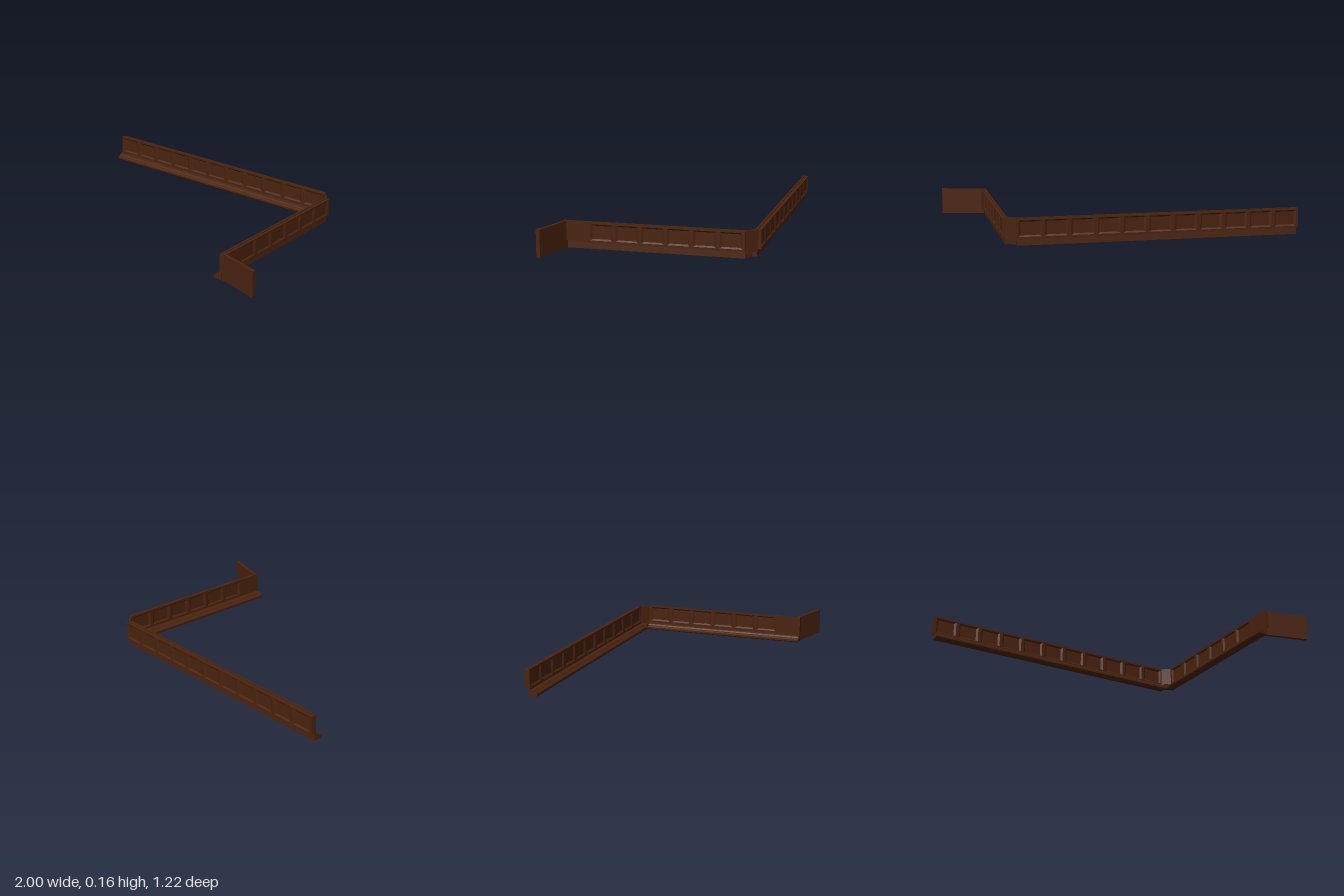
import * as THREE from 'three';

const wood = new THREE.MeshStandardMaterial({ color: 0x4a230e, side: THREE.DoubleSide });
wood.name = 'darkWood';

const HEIGHT = 0.16, PANEL_W = 0.132, PANEL_H = 0.095, PANEL_Y = 0.101;

function add(parent, name, geometry, x = 0, y = 0, z = 0) {
  const mesh = new THREE.Mesh(geometry, wood);
  mesh.name = name;
  mesh.position.set(x, y, z);
  parent.add(mesh);
  return mesh;
}

function rect(path, x0, y0, x1, y1) {
  path.moveTo(x0, y0);
  path.lineTo(x1, y0);
  path.lineTo(x1, y1);
  path.lineTo(x0, y1);
  path.closePath();
  return path;
}

// Flat board with one opening for each panel
function boardGeometry(length, y0, y1, depth, centres) {
  const shape = rect(new THREE.Shape(), -length / 2, y0, length / 2, y1);
  for (const c of centres) {
    shape.holes.push(rect(new THREE.Path(), c - PANEL_W / 2, PANEL_Y - PANEL_H / 2,
      c + PANEL_W / 2, PANEL_Y + PANEL_H / 2));
  }
  return new THREE.ExtrudeGeometry(shape, { depth, bevelEnabled: false });
}

// Sloping frame around a sunken panel, wide side towards +z
function bevelGeometry(depth) {
  let g = new THREE.CylinderGeometry(Math.SQRT2, Math.SQRT2 * 0.82, depth, 4, 1, true);
  g.rotateY(Math.PI / 4);
  g.rotateX(Math.PI / 2);
  g.scale(PANEL_W / 2, PANEL_H / 2, 1);
  g = g.toNonIndexed();
  g.computeVertexNormals();
  return g;
}

// Moulded ledge: profile runs along the wall on its inner side
function ledgeGeometry(length) {
  const s = new THREE.Shape();
  const profile = [[0, 0], [-0.05, 0], [-0.055, 0.006], [-0.055, 0.018], [-0.047, 0.024],
    [-0.04, 0.026], [-0.034, 0.034], [-0.026, 0.038], [-0.006, 0.04], [-0.003, 0.04]];
  profile.forEach(([z, y], i) => (i ? s.lineTo(-z, y) : s.moveTo(-z, y)));
  s.closePath();
  const g = new THREE.ExtrudeGeometry(s, { depth: length, bevelEnabled: false });
  g.translate(0, 0, -length / 2);
  g.rotateY(Math.PI / 2); // profile x becomes -z, extrusion becomes x
  return g;
}

// Straight wall along x, outer face towards +z
function wallRun(name, length, centres, boardDepth) {
  const run = new THREE.Group();
  run.name = name;
  add(run, 'wallCore', boardGeometry(length, 0.036, HEIGHT, 0.012, centres), 0, 0, -0.012);
  add(run, 'outerBoard', boardGeometry(length, 0.046, 0.155, boardDepth, centres));
  add(run, 'ledge', ledgeGeometry(length));
  for (const c of centres) {
    add(run, 'panel', new THREE.BoxGeometry(PANEL_W, PANEL_H, boardDepth - 0.004),
      c, PANEL_Y, boardDepth / 2 - 0.006);
    add(run, 'outerPanelFrame', bevelGeometry(0.008), c, PANEL_Y, boardDepth - 0.004);
    add(run, 'innerPanelFrame', bevelGeometry(0.008), c, PANEL_Y, -0.008).rotation.y = Math.PI;
  }
  return run;
}

// Upright prism on a floor outline of [x, z] points
function prism(points, y0, y1) {
  const s = new THREE.Shape(points.map(([x, z]) => new THREE.Vector2(x, -z)));
  const g = new THREE.ExtrudeGeometry(s, { depth: y1 - y0, bevelEnabled: false });
  g.rotateX(-Math.PI / 2);
  g.translate(0, y0, 0);
  return g;
}

export function createModel() {
  const model = new THREE.Group();
  model.name = 'panelledWall';

  // Long back wall with eleven panels, outer face to the back
  const backMid = -0.1625;
  const backCentres = Array.from({ length: 11 }, (_, i) => -(-0.921 + i * 0.1522 - backMid));
  const back = wallRun('backWall', 1.675, backCentres, 0.022);
  back.position.set(backMid, 0, -0.586);
  back.rotation.y = Math.PI;
  model.add(back);

  // Side wall with six panels and a plain stretch at the front end
  const sideMid = 0.005;
  const sideCentres = Array.from({ length: 6 }, (_, i) => -(0.308 - i * 0.1518 - sideMid));
  const side = wallRun('sideWall', 1.07, sideCentres, 0.017);
  side.position.set(0.735, 0, sideMid);
  side.rotation.y = Math.PI / 2;
  model.add(side);

  // Slanted corner joining the two walls
  add(model, 'cornerWall', prism([[0.675, -0.574], [0.675, -0.59], [0.738, -0.53], [0.723, -0.53]],
    0.036, HEIGHT));
  add(model, 'cornerLedge', prism([[0.675, -0.555], [0.68, -0.555], [0.705, -0.53], [0.675, -0.53]],
    0, 0.03));
  add(model, 'cornerLedgeTop', prism([[0.675, -0.586], [0.735, -0.53], [0.68, -0.53]], 0.03, 0.04));

  // Plain end plate turning outwards
  add(model, 'endPlate', prism([[0.738, 0.515], [1, 0.586], [1, 0.608], [0.738, 0.535]], 0, HEIGHT));

  return model;
}
